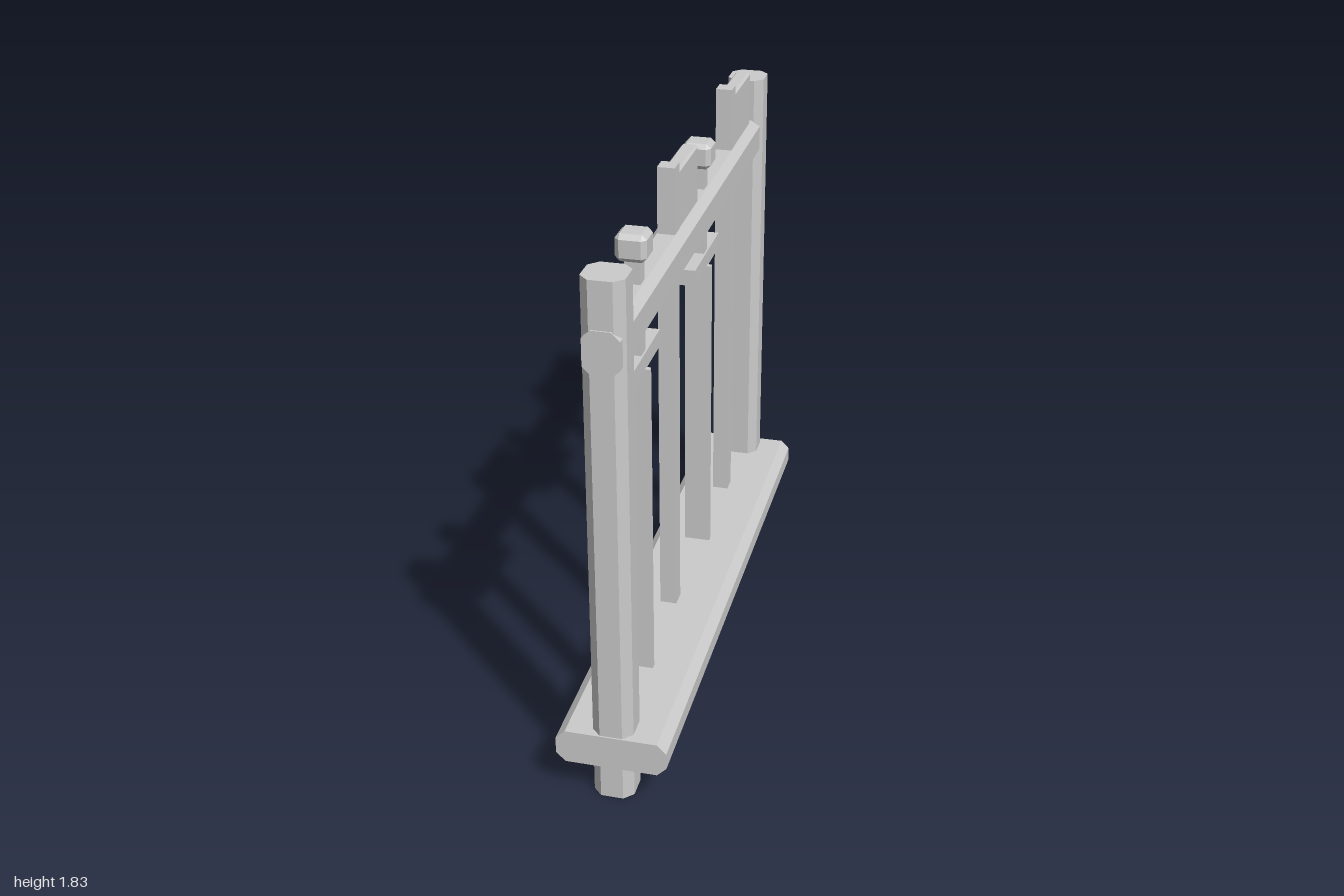
import * as THREE from 'three';
import { ConvexGeometry } from 'three/addons/geometries/ConvexGeometry.js';

const material = new THREE.MeshStandardMaterial({ color: 0xcccccc, flatShading: true });

function add(parent, name, geometry, x, y, z) {
  const mesh = new THREE.Mesh(geometry, material);
  mesh.name = name;
  mesh.position.set(x, y, z);
  parent.add(mesh);
  return mesh;
}

// Beam with chamfered long edges, centred, running along z
function beam(w, h, length, c) {
  const a = w / 2, b = h / 2;
  const outline = [
    [a - c, -b], [a, c - b], [a, b - c], [a - c, b],
    [c - a, b], [-a, b - c], [-a, c - b], [c - a, -b],
  ].map(([x, y]) => new THREE.Vector2(x, y));
  return new THREE.ExtrudeGeometry(new THREE.Shape(outline), { depth: length, bevelEnabled: false })
    .translate(0, 0, -length / 2);
}

// Box with every edge chamfered
function chamferBox(w, h, d, c) {
  const points = [];
  for (const sx of [-1, 1]) for (const sy of [-1, 1]) for (const sz of [-1, 1]) {
    for (let axis = 0; axis < 3; axis++) {
      const inset = [c, c, c];
      inset[axis] = 0;
      points.push(new THREE.Vector3(
        sx * (w / 2 - inset[0]), sy * (h / 2 - inset[1]), sz * (d / 2 - inset[2])));
    }
  }
  return new ConvexGeometry(points);
}

// Box spanning y0..y1, centred on x and z
function bar(parent, name, w, d, y0, y1) {
  return add(parent, name, new THREE.BoxGeometry(w, y1 - y0, d), 0, (y0 + y1) / 2, 0);
}

function createSword() {
  const sword = new THREE.Group();
  sword.name = 'sword';
  add(sword, 'pommel', chamferBox(0.096, 0.086, 0.096, 0.015), 0, 1.728, 0);
  bar(sword, 'grip', 0.048, 0.048, 1.38, 1.69);
  bar(sword, 'crossguard', 0.06, 0.342, 1.33, 1.385);
  bar(sword, 'blade', 0.09, 0.018, 0.26, 1.335);
  return sword;
}

function createAxe() {
  const axe = new THREE.Group();
  axe.name = 'axe';
  bar(axe, 'shaft', 0.056, 0.057, 0.26, 1.828);
  add(axe, 'axeHead', chamferBox(0.053, 0.25, 0.29, 0.007), 0, 1.675, -0.137);
  return axe;
}

export function createModel() {
  const rack = new THREE.Group();
  rack.name = 'weaponRack';

  // Frame
  add(rack, 'basePlank', beam(0.355, 0.115, 2, 0.03), 0, 0.175, 0);
  add(rack, 'topRail', beam(0.112, 0.138, 2, 0.026), 0, 1.543, 0);
  for (const side of [1, -1]) {
    const post = add(rack, side > 0 ? 'frontPost' : 'backPost',
      beam(0.13, 0.13, 1.76, 0.029), 0, 0.88, side * 0.93);
    post.rotation.x = Math.PI / 2;
  }

  // Hanging weapons, alternating along the rail
  for (const offset of [0, -0.803]) {
    const sword = createSword();
    sword.position.z = 0.645 + offset;
    const axe = createAxe();
    axe.position.z = 0.246 + offset;
    rack.add(sword, axe);
  }
  return rack;
}
